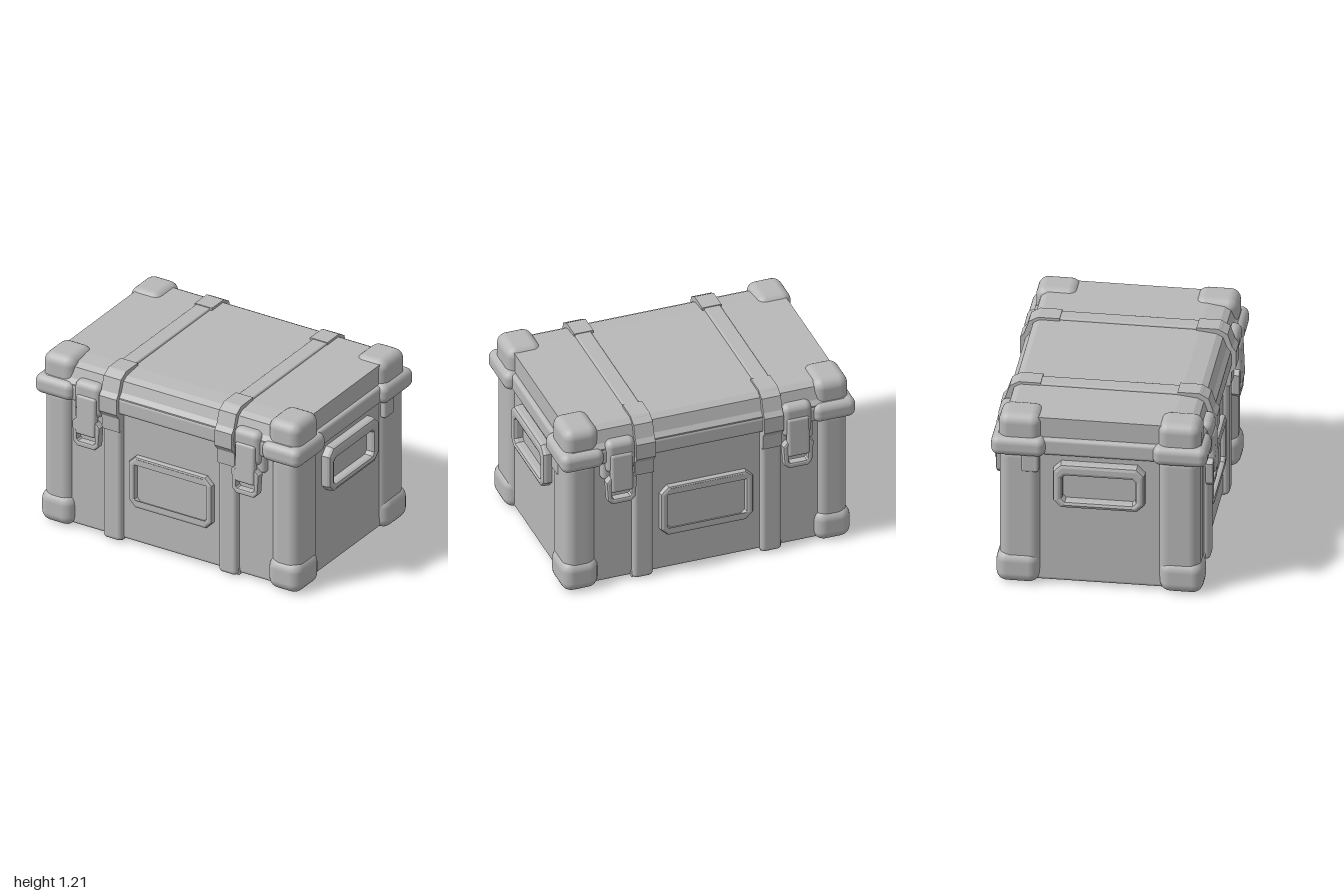
import * as THREE from 'three';
import { RoundedBoxGeometry } from 'three/addons/geometries/RoundedBoxGeometry.js';

const shell = new THREE.MeshStandardMaterial({ color: 0xb8b8b8 });
shell.name = 'grey shell';

function add(parent, name, geometry) {
  const mesh = new THREE.Mesh(geometry, shell);
  mesh.name = name;
  parent.add(mesh);
  return mesh;
}

// Rounded block given by its limits on each axis
function block(parent, name, [x0, x1], [y0, y1], [z0, z1], r) {
  const g = new RoundedBoxGeometry(x1 - x0, y1 - y0, z1 - z0, 3, r);
  g.translate((x0 + x1) / 2, (y0 + y1) / 2, (z0 + z1) / 2);
  return add(parent, name, g);
}

// Outline of [z, y] points swept along x
function sweep(parent, name, points, x0, x1) {
  const shape = new THREE.Shape(points.map(([z, y]) => new THREE.Vector2(-z, y)));
  const g = new THREE.ExtrudeGeometry(shape, { depth: x1 - x0, bevelEnabled: false });
  g.rotateY(Math.PI / 2).translate(x0, 0, 0);
  return add(parent, name, g);
}

// Rectangle with cut corners, optionally narrower at the bottom
function cutRect(Type, w, y0, y1, c, taper = 0) {
  const a = w / 2, b = a - taper;
  return new Type([
    [-b + c, y0], [b - c, y0], [b, y0 + c], [a, y1 - c],
    [a - c, y1], [-a + c, y1], [-a, y1 - c], [-b, y0 + c],
  ].map(([x, y]) => new THREE.Vector2(x, y)));
}

// Bevelled frame facing +z, with its front at z
function frame(parent, name, outer, hole, depth, bevel, z) {
  outer.holes.push(hole);
  const g = new THREE.ExtrudeGeometry(outer, {
    depth: depth - bevel, bevelEnabled: true, bevelThickness: bevel,
    bevelSize: bevel, bevelOffset: -bevel, bevelSegments: 2,
  });
  g.translate(0, 0, z - depth);
  return add(parent, name, g);
}

function buildLatch(x) {
  const latch = new THREE.Group();
  latch.name = 'latch';
  block(latch, 'latchMount', [-0.1, 0.1], [0.86, 1.1], [0.56, 0.69], 0.045);
  block(latch, 'latchBacking', [-0.12, 0.12], [0.8, 0.97], [0.56, 0.655], 0.03);
  const strap = block(latch, 'latchStrap', [-0.075, 0.075], [-0.14, 0.14], [-0.025, 0.025], 0.02);
  strap.position.set(0, 0.87, 0.682);
  strap.rotation.x = -0.04;
  const lever = new THREE.Group();
  lever.name = 'latchLever';
  frame(lever, 'leverFrame', cutRect(THREE.Shape, 0.21, 0.64, 0.84, 0.03, 0.01),
    cutRect(THREE.Path, 0.13, 0.68, 0.74, 0.01), 0.045, 0.012, 0.7);
  latch.add(lever);
  latch.position.x = x;
  return latch;
}

function buildLongSide() {
  const side = new THREE.Group();
  side.name = 'longSide';
  frame(side, 'panelFrame', cutRect(THREE.Shape, 0.63, 0.28, 0.65, 0.05),
    cutRect(THREE.Path, 0.53, 0.32, 0.615, 0.025), 0.05, 0.02, 0.645);
  for (const s of [-1, 1]) {
    side.add(buildLatch(s * 0.6));
    const x = s * 0.435;
    block(side, 'bodyRib', [x - 0.07, x + 0.07], [0.005, 0.95], [0.5, 0.65], 0.03);
    // Clamp wrapping the lid edge
    sweep(side, 'lidClamp', [[0.44, 1.15], [0.44, 1.205], [0.58, 1.205], [0.64, 1.17],
      [0.67, 1.08], [0.695, 1.05], [0.695, 0.94], [0.665, 0.9], [0.66, 0.8], [0.58, 0.8],
      [0.58, 1.15]], x - 0.065, x + 0.065);
  }
  return side;
}

function buildEnd() {
  const end = new THREE.Group();
  end.name = 'endSide';
  frame(end, 'handleFrame', cutRect(THREE.Shape, 0.59, 0.575, 0.89, 0.05),
    cutRect(THREE.Path, 0.47, 0.625, 0.805, 0.02), 0.075, 0.025, 0.99);
  return end;
}

export function createModel() {
  const chest = new THREE.Group();
  chest.name = 'storageCase';

  // Body and lid shells
  block(chest, 'body', [-0.925, 0.925], [0.015, 0.97], [-0.61, 0.61], 0.025);
  sweep(chest, 'lid', [[0.655, 0.94], [0.66, 1.05], [0.635, 1.08], [0.61, 1.15], [0.57, 1.172],
    [0.46, 1.185], [-0.57, 1.188], [-0.61, 1.165], [-0.635, 1.08], [-0.66, 1.05],
    [-0.655, 0.94]], -0.925, 0.925);
  block(chest, 'lidLip', [-0.955, 0.955], [0.93, 1.05], [-0.665, 0.665], 0.025);

  // Straps running over the lid and under the body
  for (const s of [-1, 1]) {
    const x = s * 0.44;
    block(chest, 'lidStrap', [x - 0.055, x + 0.055], [1.14, 1.2], [-0.6, 0.6], 0.012);
    block(chest, 'baseStrap', [x - 0.07, x + 0.07], [0.005, 0.06], [-0.62, 0.62], 0.008);
  }

  // Four protected corners
  for (const sx of [-1, 1]) for (const sz of [-1, 1]) {
    const span = (s, a, b) => (s > 0 ? [a, b] : [-b, -a]);
    block(chest, 'cornerColumn', span(sx, 0.75, 0.96), [0.03, 0.97], span(sz, 0.375, 0.645), 0.07);
    block(chest, 'bottomBumper', span(sx, 0.735, 0.98), [0, 0.22], span(sz, 0.385, 0.665), 0.07);
    block(chest, 'lidCornerCap', span(sx, 0.73, 0.967), [0.94, 1.21], span(sz, 0.375, 0.65), 0.065);
    block(chest, 'lidCornerLip', span(sx, 0.71, 1.0), [0.925, 1.06], span(sz, 0.345, 0.695), 0.05);
  }

  // Front and back, then both ends
  for (const turn of [0, Math.PI]) {
    const side = buildLongSide();
    side.rotation.y = turn;
    const end = buildEnd();
    end.rotation.y = turn + Math.PI / 2;
    chest.add(side, end);
  }
  // Small tabs under the lid near the back corners
  for (const s of [-1, 1]) {
    block(chest, 'lidTab', s > 0 ? [0.9, 0.97] : [-0.97, -0.9], [0.81, 0.95], [-0.5, -0.39], 0.015);
  }
  return chest;
}
